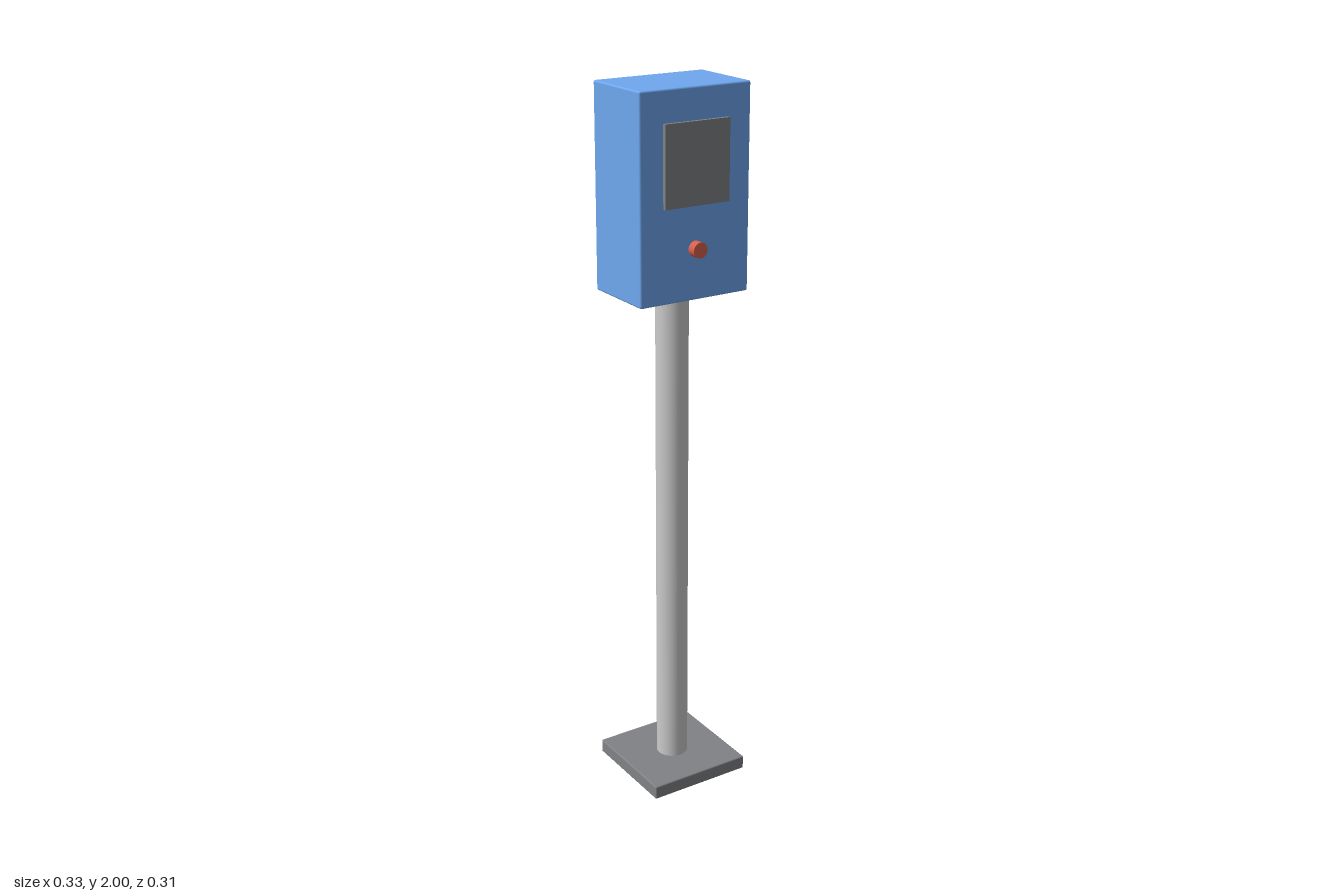
import * as THREE from 'three';
import { RoundedBoxGeometry } from 'three/addons/geometries/RoundedBoxGeometry.js';

export function createModel() {
  const model = new THREE.Group();
  const blue = new THREE.MeshStandardMaterial({ color: 0x6fa8f0 });
  const lightGrey = new THREE.MeshStandardMaterial({ color: 0xcccccc });
  const darkGrey = new THREE.MeshStandardMaterial({ color: 0x808285 });
  const red = new THREE.MeshStandardMaterial({ color: 0xd9604c });

  const add = (name, geometry, material, x, y, z) => {
    const mesh = new THREE.Mesh(geometry, material);
    mesh.name = name;
    mesh.position.set(x, y, z);
    model.add(mesh);
    return mesh;
  };

  // Square foot plate with softened edges
  add('basePlate', new RoundedBoxGeometry(0.305, 0.04, 0.305, 2, 0.004), darkGrey, 0, 0.02, 0);

  // Round post from plate to housing
  add('post', new THREE.CylinderGeometry(0.045, 0.045, 1.43, 32), lightGrey, 0, 0.745, 0);

  // Housing with finely rounded edges
  add('housing', new RoundedBoxGeometry(0.333, 0.55, 0.222, 2, 0.005), blue, 0, 1.725, 0);

  // Raised blank panel on the front
  add('frontPanel', new THREE.BoxGeometry(0.195, 0.215, 0.02), darkGrey, 0, 1.808, 0.111);

  // Round push button below the panel
  const button = add('button', new THREE.CylinderGeometry(0.021, 0.021, 0.028, 24), red, 0, 1.587, 0.122);
  button.rotation.x = Math.PI / 2;

  return model;
}
